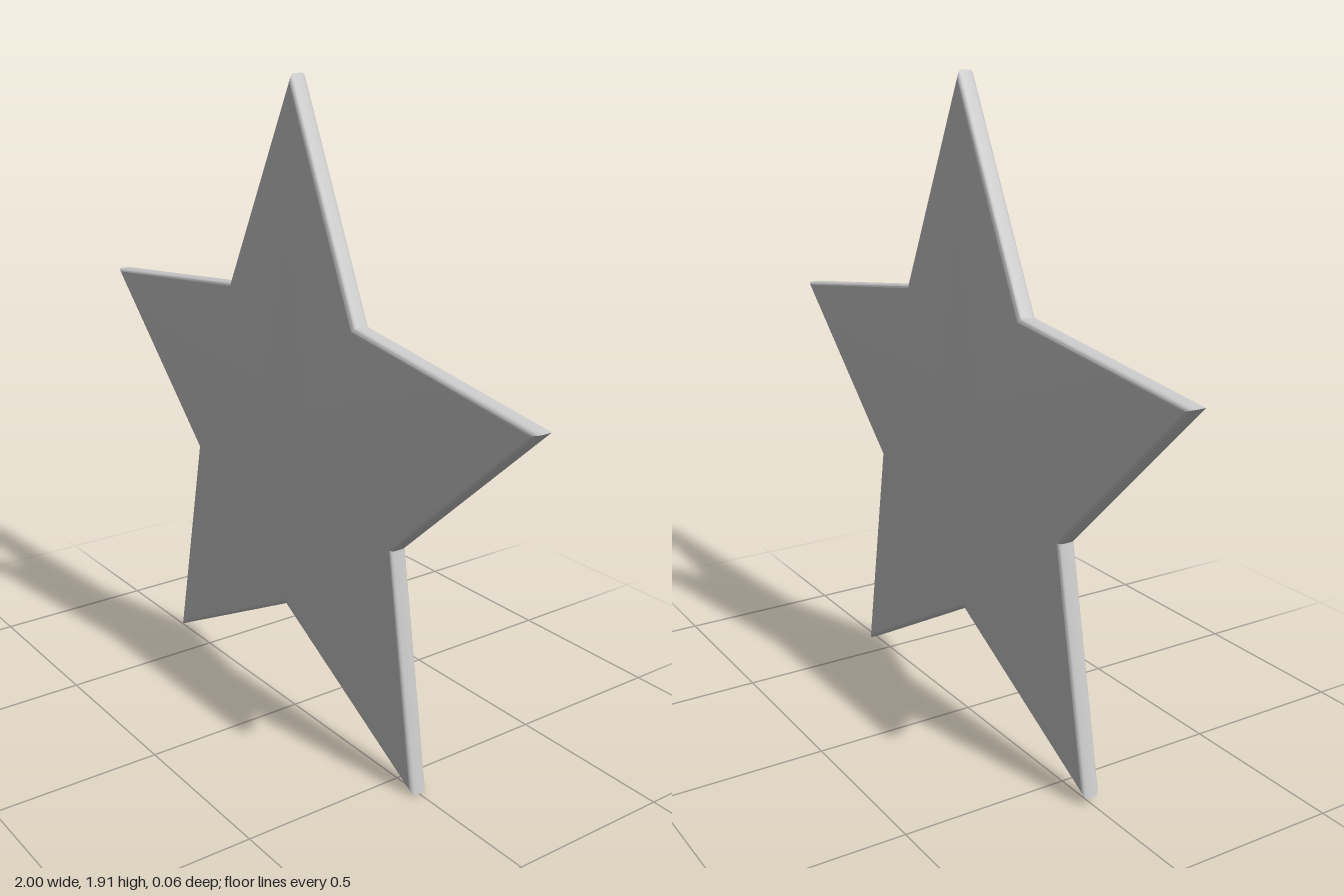
import * as THREE from 'three';
import { toCreasedNormals } from 'three/addons/utils/BufferGeometryUtils.js';

const TIP = 1.0516, NOTCH = 0.516; // star radii
const HALF = 0.028, ROUND = 0.014; // half thickness, edge rounding
const INSET = 0.031; // scale lost across the rounded rim
const STEPS = 4;

// Star outline around the origin, counter-clockwise, tilted by one degree
function starOutline() {
  return Array.from({ length: 10 }, (_, i) => {
    const a = THREE.MathUtils.degToRad(89 + i * 36);
    const r = i % 2 ? NOTCH : TIP;
    return [r * Math.cos(a), r * Math.sin(a)];
  });
}

// Profile from front centre to back centre: [outline scale, z]
function rimProfile() {
  const front = [[0, HALF]];
  for (let i = 0; i <= STEPS; i++) {
    const a = (i / STEPS) * Math.PI / 2;
    front.push([1 - INSET * (1 - Math.sin(a)), HALF - ROUND * (1 - Math.cos(a))]);
  }
  return front.concat(front.map(([s, z]) => [s, -z]).reverse());
}

function starGeometry() {
  const outline = starOutline(), profile = rimProfile();
  const n = outline.length, last = profile.length - 1;
  const positions = [], index = [];
  for (const [s, z] of profile) for (const [x, y] of outline) positions.push(x * s, y * s, z);
  for (let j = 0; j < last; j++) {
    for (let i = 0; i < n; i++) {
      const k = (i + 1) % n;
      const a = j * n + i, b = a + n, c = j * n + k, d = c + n;
      if (j < last - 1) index.push(b, d, c === a ? b : (j === 0 ? a : c));
      if (j > 0) index.push(a, b, c);
    }
  }
  const geometry = new THREE.BufferGeometry();
  geometry.setAttribute('position', new THREE.Float32BufferAttribute(positions, 3));
  geometry.setIndex(index);
  return toCreasedNormals(geometry, Math.PI / 6);
}

export function createModel() {
  const group = new THREE.Group();
  group.name = 'star';
  // Flat star plate with a rounded rim
  const plate = new THREE.Mesh(starGeometry(), new THREE.MeshStandardMaterial({ color: 0xcccccc }));
  plate.name = 'starPlate';
  plate.position.set(-0.0057, 0.8614, 0);
  group.add(plate);
  return group;
}
